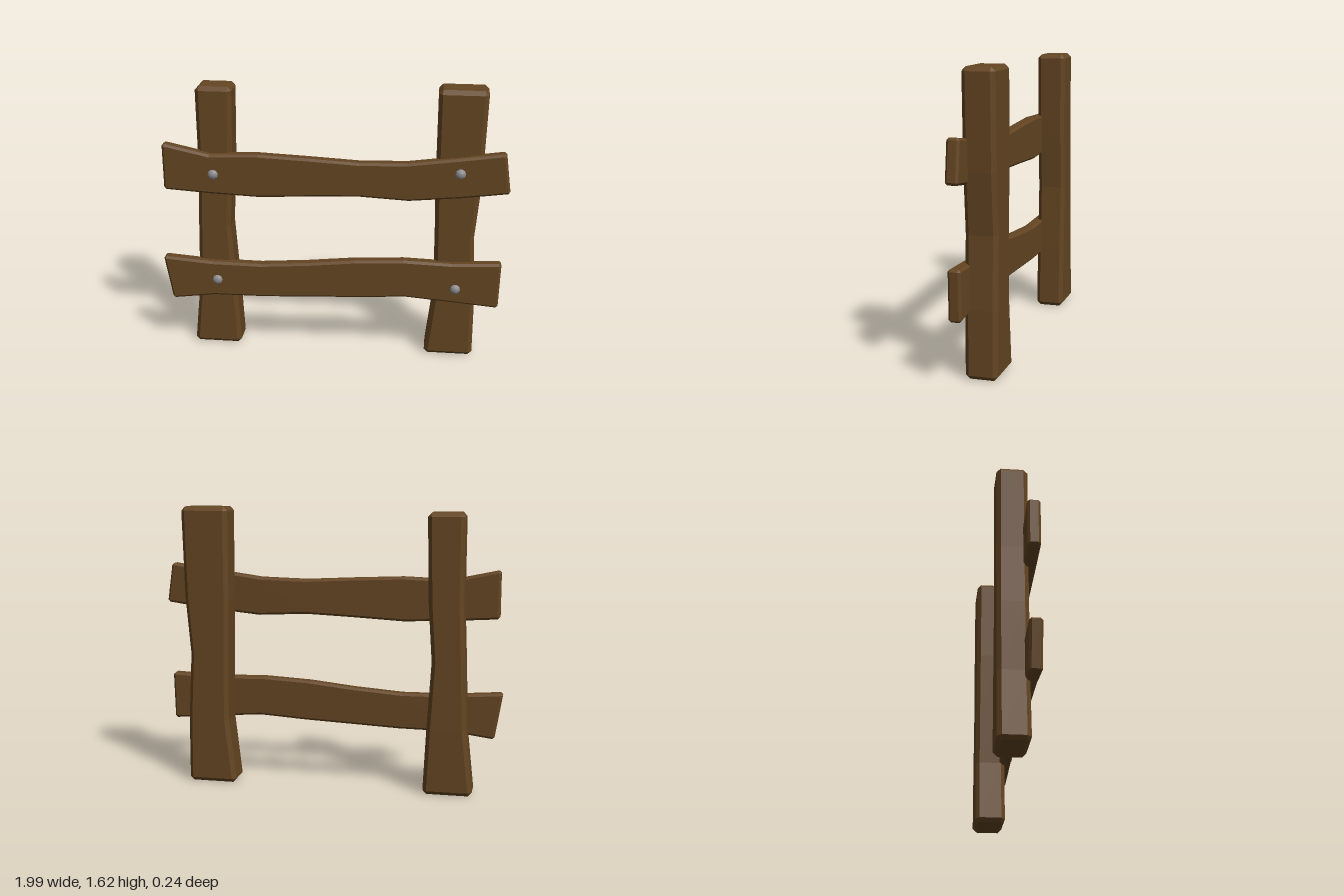
import * as THREE from 'three';

const wood = new THREE.MeshStandardMaterial({ color: 0x644522 });
wood.name = 'brown wood';
const steel = new THREE.MeshStandardMaterial({ color: 0x8c8c90, flatShading: true });
steel.name = 'grey steel';

// Cross-section between edge points a and b, with corners cut by "cut" and shrunk by "inset"
function section([ax, ay, bx, by], zBack, zFront, cut, inset) {
  const a = new THREE.Vector2(ax, ay), b = new THREE.Vector2(bx, by);
  const len = a.distanceTo(b);
  const u = b.clone().sub(a).normalize();
  const lo = inset, hi = len - inset, zb = zBack + inset, zf = zFront - inset;
  return [
    [lo + cut, zb], [hi - cut, zb], [hi, zb + cut], [hi, zf - cut],
    [hi - cut, zf], [lo + cut, zf], [lo, zf - cut], [lo, zb + cut],
  ].map(([t, z]) => new THREE.Vector3(ax + u.x * t, ay + u.y * t, z));
}

// Bevelled timber lofted through stations of [ax, ay, bx, by]
function timber(name, stations, zBack, zFront, bevel) {
  const step = (s, t) => {
    const length = Math.hypot(s[0] + s[2] - t[0] - t[2], s[1] + s[3] - t[1] - t[3]) / 2;
    return s.map((v, i) => v + (t[i] - v) * bevel / length);
  };
  const n = stations.length, first = stations[0], last = stations[n - 1];
  const body = [step(first, stations[1]), ...stations.slice(1, -1), step(last, stations[n - 2])];
  const rings = [
    section(first, zBack, zFront, 0, bevel),
    ...body.map((s) => section(s, zBack, zFront, bevel, 0)),
    section(last, zBack, zFront, 0, bevel),
  ];

  const points = [];
  const tri = (a, b, c) => {
    if (new THREE.Triangle(a, b, c).getArea() > 1e-8) points.push(a, b, c);
  };
  for (let i = 0; i < rings.length - 1; i++) {
    for (let j = 0; j < 8; j++) {
      const k = (j + 1) % 8, p = rings[i], q = rings[i + 1];
      tri(p[j], p[k], q[k]);
      tri(p[j], q[k], q[j]);
    }
  }
  const start = rings[0], end = rings[rings.length - 1];
  for (let j = 1; j < 7; j++) {
    tri(start[0], start[j + 1], start[j]);
    tri(end[0], end[j], end[j + 1]);
  }
  const geometry = new THREE.BufferGeometry().setFromPoints(points);
  geometry.computeVertexNormals();
  const mesh = new THREE.Mesh(geometry, wood);
  mesh.name = name;
  return mesh;
}

// Rows are [y, left edge x, right edge x]
const post = (name, rows, zBack, zFront) =>
  timber(name, rows.map(([y, x0, x1]) => [x1, y, x0, y]), zBack, zFront, 0.023);

// Matching lists of lower and upper edge points
const rail = (name, low, high) =>
  timber(name, low.map((p, i) => [...p, ...high[i]]), 0.028, 0.098, 0.013);

export function createModel() {
  const fence = new THREE.Group();
  fence.name = 'fence';

  // Uprights
  fence.add(post('rightPost', [
    [0, -0.845, -0.56], [0.38, -0.803, -0.578], [0.77, -0.79, -0.602],
    [1.1, -0.775, -0.58], [1.605, -0.775, -0.568],
  ], -0.113, 0.056));
  fence.add(post('leftPost', [
    [0, 0.545, 0.832], [0.38, 0.588, 0.83], [0.77, 0.585, 0.81],
    [1.1, 0.578, 0.838], [1.625, 0.577, 0.852],
  ], -0.117, 0.06));

  // Wavy rails
  fence.add(rail('upperRail',
    [[-0.97, 1.005], [-0.7, 0.988], [-0.42, 0.977], [-0.12, 0.993], [0.15, 1.004], [0.43, 0.99], [0.72, 1.018], [0.995, 1.055]],
    [[-0.97, 1.28], [-0.7, 1.222], [-0.42, 1.232], [-0.14, 1.22], [0.15, 1.205], [0.42, 1.212], [0.7, 1.25], [0.962, 1.288]]));
  fence.add(rail('lowerRail',
    [[-0.955, 0.308], [-0.7, 0.342], [-0.4, 0.345], [-0.12, 0.358], [0.15, 0.37], [0.43, 0.388], [0.7, 0.367], [0.965, 0.345]],
    [[-1, 0.58], [-0.71, 0.558], [-0.42, 0.555], [-0.14, 0.576], [0.13, 0.605], [0.41, 0.62], [0.69, 0.612], [0.972, 0.625]]));

  // Domed bolt heads
  const dome = new THREE.SphereGeometry(0.03, 10, 4, 0, Math.PI * 2, 0, Math.PI / 2);
  dome.rotateX(Math.PI / 2).scale(1, 1, 0.75);
  for (const [x, y] of [[-0.68, 1.108], [0.715, 1.165], [-0.68, 0.448], [0.715, 0.457]]) {
    const bolt = new THREE.Mesh(dome, steel);
    bolt.name = 'bolt';
    bolt.position.set(x, y, 0.097);
    fence.add(bolt);
  }
  return fence;
}
